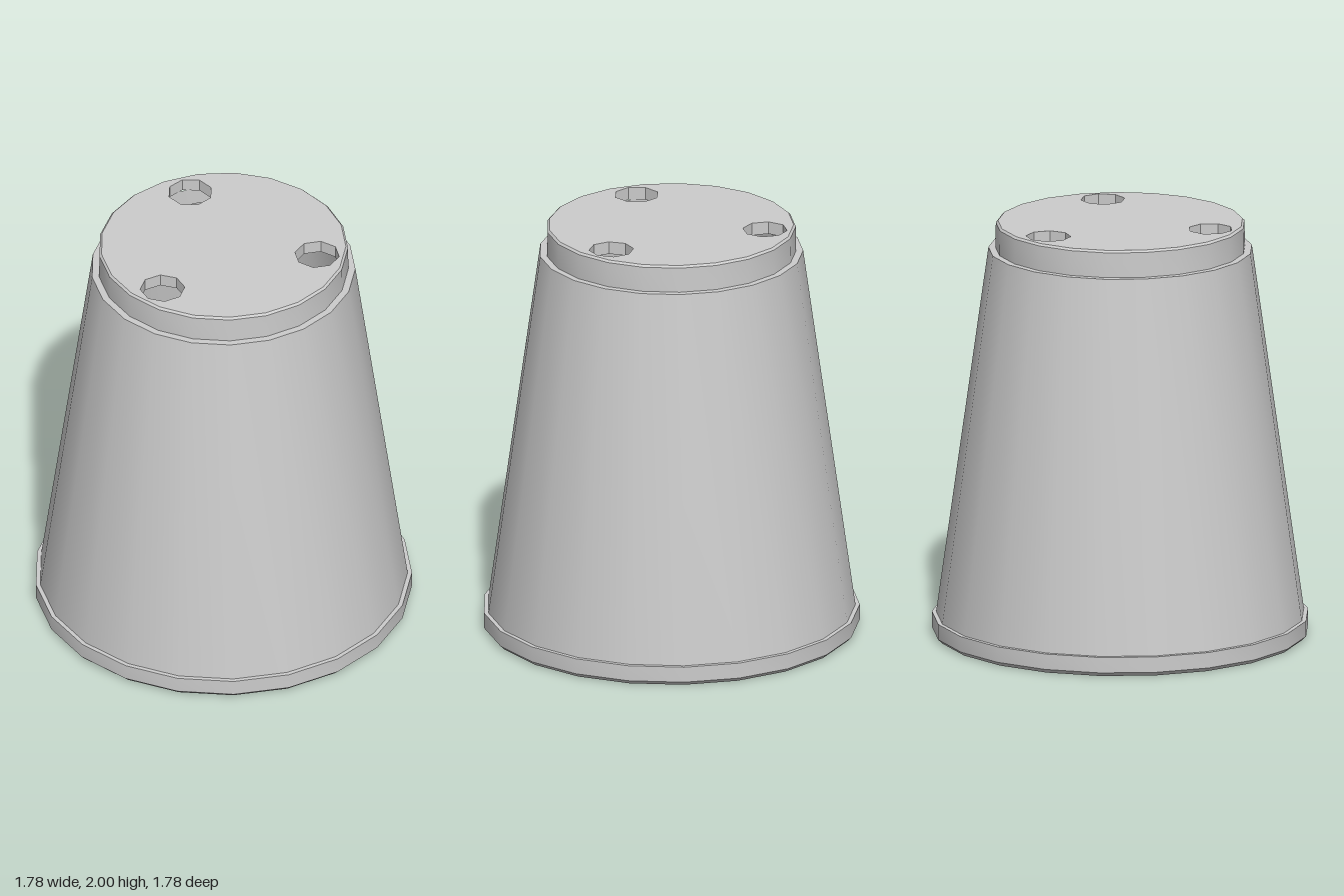
import * as THREE from 'three';
import { toCreasedNormals } from 'three/addons/utils/BufferGeometryUtils.js';

const SIDES = 21;

// Closed polygon points around (cx, cy), starting at angle a0
function ring(cx, cy, r, n, a0 = 0) {
  return Array.from({ length: n }, (_, i) => {
    const a = a0 + (i * 2 * Math.PI) / n;
    return new THREE.Vector2(cx + r * Math.cos(a), cy + r * Math.sin(a));
  });
}

export function createModel() {
  const group = new THREE.Group();
  group.name = 'upturnedPot';
  const material = new THREE.MeshStandardMaterial({ color: 0xcccccc });

  // Hollow wall: down the inside, round the rim, up the outside to the foot
  const profile = [
    [0.555, 1.94], [0.555, 1.85], [0.595, 1.83], [0.85, 0.02], [0.855, 0],
    [0.872, 0], [0.8925, 0.02], [0.8925, 0.095], [0.872, 0.095],
    [0.625, 1.87], [0.592, 1.87], [0.59, 1.99], [0.58, 2],
  ].map(([r, y]) => new THREE.Vector2(r, y));
  const wallGeometry = toCreasedNormals(
    new THREE.LatheGeometry(profile, SIDES, Math.PI / 2), 0.5);
  const wall = new THREE.Mesh(wallGeometry, material);
  wall.name = 'wall';

  // Base plate with three octagonal drain holes
  const plate = new THREE.Shape(ring(0, 0, 0.58, SIDES));
  for (let i = 0; i < 3; i++) {
    const a = Math.PI + (i * 2 * Math.PI) / 3;
    plate.holes.push(new THREE.Path(
      ring(0.45 * Math.cos(a), 0.45 * Math.sin(a), 0.106, 8, a)));
  }
  const plateGeometry = new THREE.ExtrudeGeometry(plate, { depth: 0.06, bevelEnabled: false });
  plateGeometry.rotateX(-Math.PI / 2);
  const base = new THREE.Mesh(plateGeometry, material);
  base.name = 'drainedBase';
  base.position.y = 1.94;

  group.add(wall, base);
  // The odd side count puts the axis slightly off the middle
  group.position.x = -0.005;
  return group;
}
